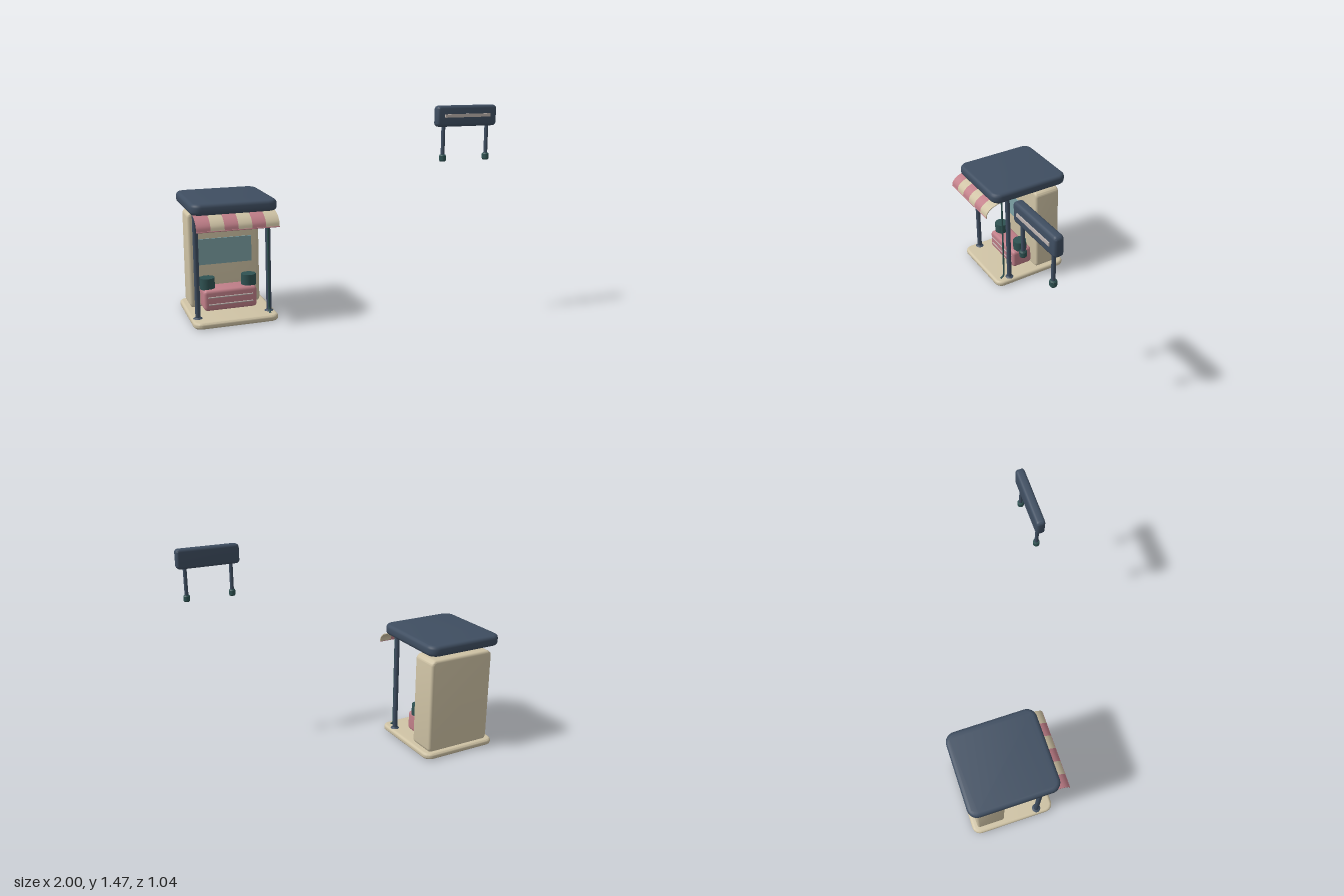
import * as THREE from 'three';
import { toCreasedNormals } from 'three/addons/utils/BufferGeometryUtils.js';

const material = (name, color) => {
  const m = new THREE.MeshStandardMaterial({ color });
  m.name = name;
  return m;
};

// Rounded rectangle in XY with corner radius r, thickness d along z and softened rims b
function slab(w, h, d, r, b) {
  const x = w / 2, y = h / 2, s = new THREE.Shape();
  s.moveTo(-x + r, -y);
  s.lineTo(x - r, -y).absarc(x - r, -y + r, r, -Math.PI / 2, 0);
  s.lineTo(x, y - r).absarc(x - r, y - r, r, 0, Math.PI / 2);
  s.lineTo(-x + r, y).absarc(-x + r, y - r, r, Math.PI / 2, Math.PI);
  s.lineTo(-x, -y + r).absarc(-x + r, -y + r, r, Math.PI, Math.PI * 1.5);
  const g = new THREE.ExtrudeGeometry(s, {
    depth: d - 2 * b, bevelEnabled: true, bevelThickness: b, bevelSize: b,
    bevelOffset: -b, bevelSegments: 3, curveSegments: 6,
  });
  g.translate(0, 0, -(d - 2 * b) / 2);
  return toCreasedNormals(g, 0.65);
}

export function createModel() {
  const navy = material('navy', 0x3f4e61);
  const cream = material('cream', 0xcfc3a5);
  const pink = material('pink', 0xc17f89);
  const teal = material('darkTeal', 0x2f5252);
  const glass = material('glass', 0x7fa4a8);
  const silver = material('silver', 0xbfb5b1);

  const model = new THREE.Group();
  const add = (parent, name, geometry, mat, x, y, z) => {
    const mesh = new THREE.Mesh(geometry, mat);
    mesh.name = name;
    mesh.position.set(x, y, z);
    parent.add(mesh);
    return mesh;
  };
  const rod = (r, length) => new THREE.CylinderGeometry(r, r, length, 16);

  const kiosk = new THREE.Group();
  kiosk.name = 'kiosk';
  model.add(kiosk);
  const cx = -0.705;

  // Floor plate, roof and rear cabinet
  add(kiosk, 'floor', slab(0.59, 0.62, 0.044, 0.06, 0.018).rotateX(-Math.PI / 2), cream, cx, 0.022, -0.2);
  add(kiosk, 'roof', slab(0.59, 0.638, 0.076, 0.07, 0.024).rotateX(-Math.PI / 2), navy, cx, 0.813, -0.2);
  add(kiosk, 'cabinet', slab(0.51, 0.7, 0.207, 0.04, 0.018), cream, cx, 0.38, -0.367);
  add(kiosk, 'window', new THREE.BoxGeometry(0.39, 0.186, 0.0095), glass, cx, 0.441, -0.259);

  for (const side of [-1, 1]) {
    // Front posts with flared feet
    add(kiosk, 'post', rod(0.018, 0.75), navy, cx + side * 0.25, 0.41, -0.013);
    add(kiosk, 'postFoot', new THREE.CylinderGeometry(0.02, 0.033, 0.01, 16), navy, cx + side * 0.25, 0.048, -0.013);
    // Jars on the counter and ceiling lamps
    add(kiosk, 'jar', rod(0.053, 0.08), teal, cx + side * 0.148, 0.239, -0.173);
    add(kiosk, 'ceilingLamp', rod(0.05, 0.012), cream, cx + side * 0.155, 0.773, -0.04);
  }

  // Counter with two trim bars
  add(kiosk, 'counter', slab(0.375, 0.148, 0.166, 0.025, 0.02), pink, cx, 0.13, -0.173);
  for (const y of [0.102, 0.153]) {
    add(kiosk, 'counterTrim', rod(0.005, 0.315).rotateZ(Math.PI / 2), silver, cx, y, -0.09);
  }

  // Drainpipe beside the right-hand post
  const pipePath = new THREE.CurvePath();
  const bend = [[0.78, 0.03], [0.075, 0.03], [0.06, 0.036], [0.044, 0.06]]
    .map(([y, z]) => new THREE.Vector3(-0.466, y, z));
  for (let i = 0; i < 3; i++) pipePath.add(new THREE.LineCurve3(bend[i], bend[i + 1]));
  add(kiosk, 'drainpipe', new THREE.TubeGeometry(pipePath, 40, 0.007, 8), teal, 0, 0, 0);

  // Striped awning: one curved strip per colour
  const top = new THREE.CatmullRomCurve3([
    [0.05, 0.781], [0.085, 0.774], [0.145, 0.75], [0.178, 0.716], [0.185, 0.684],
  ].map(([z, y]) => new THREE.Vector3(z, y, 0))).getPoints(14);
  const section = new THREE.Shape([
    ...top.map((p) => new THREE.Vector2(p.x, p.y)),
    ...top.slice().reverse().map((p) => new THREE.Vector2(p.x - 0.005, p.y - 0.004)),
  ]);
  const stripe = 0.555 / 6;
  const strip = toCreasedNormals(
    new THREE.ExtrudeGeometry(section, { depth: stripe, bevelEnabled: false }).rotateY(-Math.PI / 2), 0.6);
  for (let i = 0; i < 6; i++) {
    add(kiosk, 'awningStripe', strip, i % 2 ? cream : pink, -0.983 + stripe * (i + 1), 0, 0);
  }
  add(kiosk, 'awningHem', rod(0.004, 0.555).rotateZ(Math.PI / 2), pink, -0.7055, 0.683, 0.183);

  // Separate sign on two short legs
  const sign = new THREE.Group();
  sign.name = 'sign';
  sign.position.set(0.777, 0, 0.483);
  model.add(sign);
  add(sign, 'signBoard', slab(0.446, 0.138, 0.062, 0.025, 0.018), navy, 0, 1.404, 0);
  add(sign, 'signStrip', new THREE.BoxGeometry(0.34, 0.022, 0.009), silver, 0, 1.407, 0.034);
  const footProfile = [[0, -0.023], [0.017, -0.023], [0.023, -0.015], [0.023, 0.015], [0.017, 0.023], [0, 0.023]]
    .map(([r, y]) => new THREE.Vector2(r, y));
  const footGeometry = toCreasedNormals(new THREE.LatheGeometry(footProfile, 12), 0.6);
  for (const side of [-1, 1]) {
    add(sign, 'signLeg', rod(0.013, 0.22), navy, side * 0.164, 1.24, 0);
    add(sign, 'signFoot', footGeometry, teal, side * 0.164, 1.128, 0);
  }
  return model;
}
